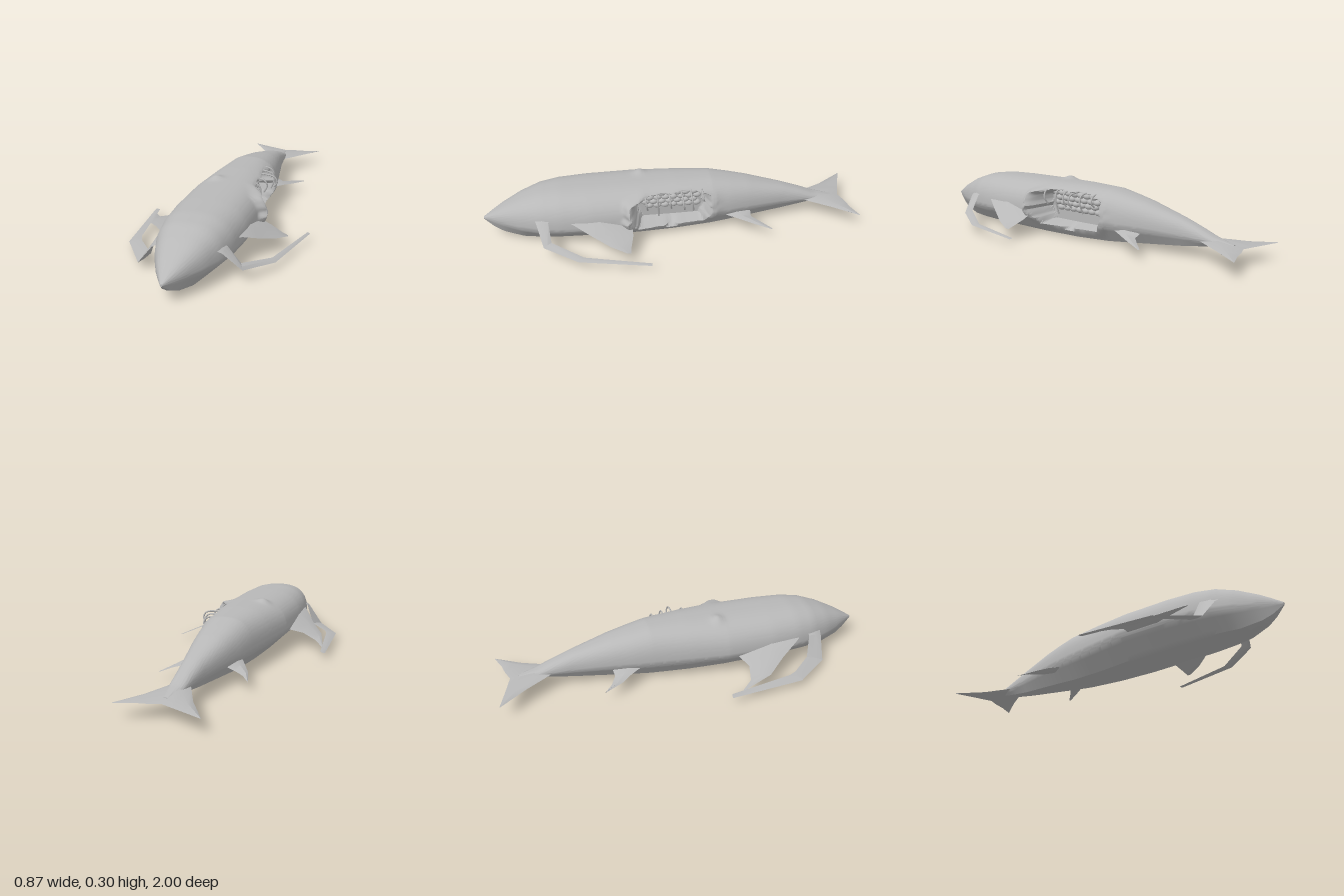
import * as THREE from 'three';
import { toCreasedNormals } from 'three/addons/utils/BufferGeometryUtils.js';

const V = (x, y, z) => new THREE.Vector3(x, y, z);
const lerp = THREE.MathUtils.lerp;
const smooth = THREE.MathUtils.smoothstep;

// Skin a list of closed rings, each with the same number of points
function loft(rings, crease = 0.6) {
  const n = rings[0].length, index = [];
  for (let i = 0; i < rings.length - 1; i++) {
    for (let j = 0; j < n; j++) {
      const a = i * n + j, b = i * n + (j + 1) % n;
      index.push(a, b, a + n, b, b + n, a + n);
    }
  }
  const geo = new THREE.BufferGeometry().setFromPoints(rings.flat());
  geo.setIndex(index);
  return toCreasedNormals(geo, crease);
}

// Thin blade from [leading edge, trailing edge, half thickness] stations
function blade(stations) {
  return loft(stations.map(([a, b, t]) => {
    const p = V(...a), q = V(...b), m = p.clone().lerp(q, 0.45);
    return [p, V(m.x, m.y + t, m.z), q, V(m.x, m.y - t, m.z)];
  }), 0.5);
}

// Body stations: z, half width, belly y, widest y, back y
const STATIONS = [
  [1, 0.006, 0.105, 0.112, 0.118], [0.95, 0.04, 0.062, 0.113, 0.15], [0.9, 0.072, 0.035, 0.113, 0.18],
  [0.8, 0.125, 0.012, 0.11, 0.23], [0.7, 0.165, 0.011, 0.108, 0.265], [0.6, 0.185, 0.01, 0.11, 0.28],
  [0.45, 0.198, 0.009, 0.115, 0.285], [0.2, 0.198, 0.005, 0.12, 0.288], [0, 0.172, 0.003, 0.12, 0.29],
  [-0.2, 0.143, 0.01, 0.12, 0.285], [-0.3, 0.127, 0.02, 0.12, 0.266], [-0.4, 0.107, 0.03, 0.12, 0.245],
  [-0.6, 0.064, 0.05, 0.112, 0.19], [-0.7, 0.049, 0.065, 0.105, 0.155], [-0.78, 0.04, 0.078, 0.098, 0.122],
  [-0.88, 0.012, 0.088, 0.092, 0.1],
];
const KEEL = [[0, -1], [0.5, -0.93], [0.95, -0.17], [1, 0]];

function station(z) {
  let i = 0;
  while (i < STATIONS.length - 2 && z < STATIONS[i + 1][0]) i++;
  const a = STATIONS[i], b = STATIONS[i + 1], t = (a[0] - z) / (a[0] - b[0]);
  return a.map((v, k) => lerp(v, b[k], t));
}

// Half cross-section from keel to spine: angular belly, full rounded back
function halfRing(z) {
  const [, w, bot, mid, top] = station(z), out = [];
  for (let i = 0; i < 15; i++) {
    const s = i / 5, k = Math.min(2, Math.floor(s)), t = s - k;
    const x = lerp(KEEL[k][0], KEEL[k + 1][0], t), y = lerp(KEEL[k][1], KEEL[k + 1][1], t);
    out.push(V(x * w, mid + y * (mid - bot), z));
  }
  for (let i = 0; i <= 30; i++) {
    const a = i / 30 * Math.PI / 2, e = 2 / 2.6;
    out.push(V(w * Math.max(0, Math.cos(a)) ** e, mid + (top - mid) * Math.sin(a) ** e, z));
  }
  return out;
}

// Hollow the left flank, raise a torn lip around it, and add a small scar on the back
function wound(p) {
  if (p.x > 0.02) {
    const dz = (p.z - 0.02) / 0.21, dy = (p.y - 0.16) / 0.1;
    const a = Math.atan2(dy, dz);
    const r = (dz ** 4 + dy ** 4) ** 0.25 + 0.03 * Math.sin(9 * a) + 0.015 * Math.sin(17 * a);
    const lip = Math.exp(-(((r - 1.1) / 0.1) ** 2)) * Math.min(1, p.x / 0.16);
    p.x += lip * (0.006 + 0.036 * smooth(dz, 0.5, 1) * smooth(p.y, 0.06, 0.17));
    p.x = lerp(p.x, 0.05, 1 - smooth(r, 0.82, 1));
  }
  const d = ((p.x + 0.07) / 0.035) ** 2 + ((p.z - 0.17) / 0.03) ** 2;
  if (p.y > 0.2) p.y += 0.016 * Math.exp(-d);
  return p;
}

function bodyGeometry() {
  const rings = [], zs = [];
  for (let z = 1; z > 0.3; z -= 0.025) zs.push(z);
  for (let z = 0.3; z > -0.24; z -= 0.0075) zs.push(z);
  for (let z = -0.24; z > -0.88; z -= 0.02) zs.push(z);
  zs.push(-0.88);
  for (const z of zs) {
    const half = halfRing(z);
    const other = half.slice(1, -1).reverse().map(p => V(-p.x, p.y, p.z));
    rings.push([...half, ...other].map(wound));
  }
  const ends = [rings[0], rings[rings.length - 1]].map(r => {
    const c = V(0, (r[0].y + r[44].y) / 2, r[0].z);
    return r.map(() => c.clone());
  });
  return loft([ends[0], ...rings, ends[1]].reverse(), 0.7);
}

export function createModel() {
  const group = new THREE.Group();
  const skin = new THREE.MeshStandardMaterial({ color: 0xb8b8b8, side: THREE.DoubleSide });
  skin.name = 'greySkin';
  const add = (name, geo, parent = group) => {
    const m = new THREE.Mesh(geo, skin);
    m.name = name;
    parent.add(m);
    return m;
  };

  add('body', bodyGeometry());

  // Horizontal forked tail
  add('tailFin', blade([
    [[-0.22, 0.085, -0.995], [-0.22, 0.085, -1], 0.001],
    [[-0.12, 0.09, -0.855], [-0.12, 0.086, -0.965], 0.008],
    [[-0.052, 0.1, -0.73], [-0.06, 0.087, -0.945], 0.014],
    [[0, 0.105, -0.66], [0, 0.088, -0.925], 0.02],
    [[0.052, 0.1, -0.73], [0.06, 0.087, -0.945], 0.014],
    [[0.12, 0.09, -0.855], [0.12, 0.086, -0.955], 0.008],
    [[0.205, 0.085, -0.98], [0.205, 0.085, -0.985], 0.001],
  ]));

  // Pectoral fins, the right one longer
  add('leftPectoralFin', blade([
    [[0.15, 0.17, 0.6], [0.15, 0.13, 0.24], 0.03],
    [[0.2, 0.155, 0.53], [0.2, 0.12, 0.235], 0.022],
    [[0.25, 0.12, 0.45], [0.25, 0.1, 0.235], 0.014],
    [[0.31, 0.085, 0.355], [0.31, 0.075, 0.25], 0.007],
    [[0.35, 0.067, 0.275], [0.345, 0.063, 0.255], 0.001],
  ]));
  add('rightPectoralFin', blade([
    [[-0.15, 0.17, 0.64], [-0.15, 0.13, 0.23], 0.03],
    [[-0.2, 0.15, 0.58], [-0.2, 0.115, 0.25], 0.022],
    [[-0.27, 0.11, 0.47], [-0.27, 0.095, 0.28], 0.014],
    [[-0.35, 0.075, 0.37], [-0.35, 0.065, 0.26], 0.007],
    [[-0.405, 0.05, 0.205], [-0.4, 0.05, 0.2], 0.001],
  ]));

  // Small rear fins
  for (const [name, s, dz] of [['leftRearFin', 1, 0], ['rightRearFin', -1, 0.02]]) {
    add(name, blade([
      [[s * 0.09, 0.1, -0.22], [s * 0.08, 0.1, -0.41], 0.018],
      [[s * 0.15, 0.09, -0.32], [s * 0.13, 0.08, -0.405], 0.01],
      [[s * 0.19, 0.075, -0.4 + dz], [s * 0.185, 0.072, -0.455 + dz], 0.005],
      [[s * (0.235 - dz / 2), 0.06, -0.495 + dz], [s * 0.228, 0.06, -0.5 + dz], 0.001],
    ]));
  }

  // Long bent barbels trailing from the jaw
  add('leftBarbel', blade([
    [[0.14, 0.17, 0.73], [0.14, 0.18, 0.65], 0.008],
    [[0.17, 0.155, 0.72], [0.175, 0.165, 0.66], 0.006],
    [[0.255, 0.07, 0.69], [0.235, 0.085, 0.65], 0.004],
    [[0.36, 0.045, 0.52], [0.335, 0.052, 0.49], 0.004],
    [[0.435, 0.043, 0.16], [0.42, 0.047, 0.155], 0.002],
  ]));
  add('rightBarbel', blade([
    [[-0.14, 0.16, 0.74], [-0.14, 0.175, 0.66], 0.008],
    [[-0.17, 0.14, 0.735], [-0.18, 0.155, 0.66], 0.006],
    [[-0.255, 0.035, 0.715], [-0.225, 0.05, 0.635], 0.004],
    [[-0.395, 0.036, 0.53], [-0.33, 0.05, 0.52], 0.004],
    [[-0.395, 0.036, 0.535], [-0.35, 0.05, 0.48], 0.004],
    [[-0.437, 0.042, 0.13], [-0.41, 0.046, 0.135], 0.002],
  ]));

  // Broken ribs hanging from the upper edge of the wound
  const ribs = new THREE.Group();
  ribs.name = 'ribs';
  group.add(ribs);
  const RIBS = [[0.16, 0.17, 0.18], [0.1, 0.15, 0.13], [0.035, 0.165, 0.18], [-0.03, 0.2, 0.19], [-0.08, 0.17, 0.16], [-0.14, 0.15, 0.2]];
  for (const [z, reach, low] of RIBS) {
    const path = new THREE.CatmullRomCurve3([V(0.09, 0.262, z), V(reach - 0.015, 0.25, z), V(reach, 0.22, z - 0.004), V(reach - 0.02, low, z - 0.01)]);
    add('rib', new THREE.TubeGeometry(path, 10, 0.0045, 6), ribs);
  }

  // Rounded entrails packed in the cavity
  const entrails = new THREE.Group();
  entrails.name = 'entrails';
  group.add(entrails);
  for (let row = 0; row < 4; row++) {
    for (let i = 0; i < 7; i++) {
      const z = -0.12 + i * 0.042 + (row % 2) * 0.02;
      const lump = add('lump', new THREE.SphereGeometry(0.02, 10, 8), entrails);
      lump.position.set(0.055 + row * 0.006, 0.15 + row * 0.028, z);
      lump.scale.set(0.9, 0.8, 1.2);
    }
  }
  return group;
}
